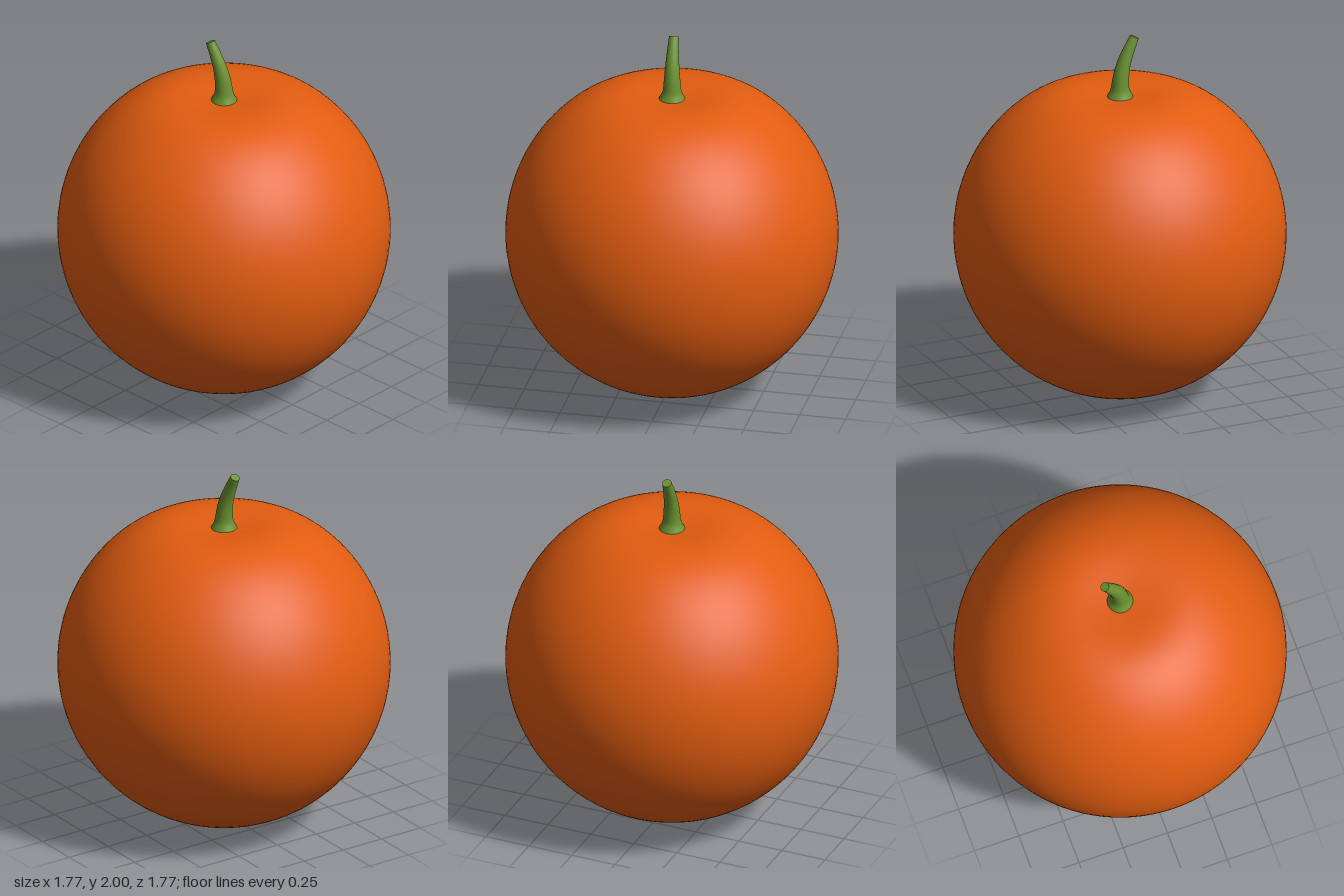
import * as THREE from 'three';
import { mergeVertices } from 'three/addons/utils/BufferGeometryUtils.js';

const RADIUS = 0.886;

// Round body: a sphere profile whose crown sinks softly around the stem
function createBody(material) {
  const profile = [];
  const steps = 64;
  for (let i = 0; i <= steps; i++) {
    const a = (i / steps) * Math.PI;
    const r = i === 0 || i === steps ? 0 : RADIUS * Math.sin(a);
    let y = RADIUS - RADIUS * Math.cos(a);
    if (y > RADIUS) y -= 0.107 * Math.exp(-((r / 0.3) ** 2));
    profile.push(new THREE.Vector2(r, y));
  }
  const body = new THREE.Mesh(new THREE.LatheGeometry(profile, 96), material);
  body.name = 'body';
  return body;
}

// Curved stem: a tube with a flared foot that tapers to a flat cut tip
function createStem(material) {
  const stem = new THREE.Group();
  stem.name = 'stem';
  const path = new THREE.CatmullRomCurve3([
    new THREE.Vector3(0, 1.655, 0),
    new THREE.Vector3(0, 1.74, -0.002),
    new THREE.Vector3(-0.003, 1.83, -0.018),
    new THREE.Vector3(-0.007, 1.92, -0.054),
    new THREE.Vector3(-0.01, 1.99, -0.09),
  ]);
  const rings = 32;
  const sides = 24;
  const radiusAt = (t) => 0.053 - 0.028 * t + 0.02 * Math.exp(-((t / 0.1) ** 2));

  const tube = new THREE.TubeGeometry(path, rings, 1, sides, false);
  const position = tube.attributes.position;
  const v = new THREE.Vector3();
  for (let i = 0; i <= rings; i++) {
    const centre = path.getPointAt(i / rings);
    for (let j = 0; j <= sides; j++) {
      const k = i * (sides + 1) + j;
      v.fromBufferAttribute(position, k).sub(centre);
      v.multiplyScalar(radiusAt(i / rings)).add(centre);
      position.setXYZ(k, v.x, v.y, v.z);
    }
  }
  // Weld the seam so the stalk shades smoothly all round
  tube.deleteAttribute('uv');
  tube.deleteAttribute('normal');
  const welded = mergeVertices(tube, 1e-5);
  welded.computeVertexNormals();
  const stalk = new THREE.Mesh(welded, material);
  stalk.name = 'stalk';

  const tip = new THREE.Mesh(new THREE.CircleGeometry(radiusAt(1), sides), material);
  tip.name = 'stemTip';
  tip.position.copy(path.getPointAt(1));
  tip.quaternion.setFromUnitVectors(new THREE.Vector3(0, 0, 1), path.getTangentAt(1));

  stem.add(stalk, tip);
  return stem;
}

export function createModel() {
  const orange = new THREE.MeshStandardMaterial({ color: 0xe25c10 });
  orange.name = 'orange skin';
  const green = new THREE.MeshStandardMaterial({ color: 0x6b9132 });
  green.name = 'green stem';

  const model = new THREE.Group();
  model.name = 'pumpkin';
  model.add(createBody(orange), createStem(green));
  return model;
}
